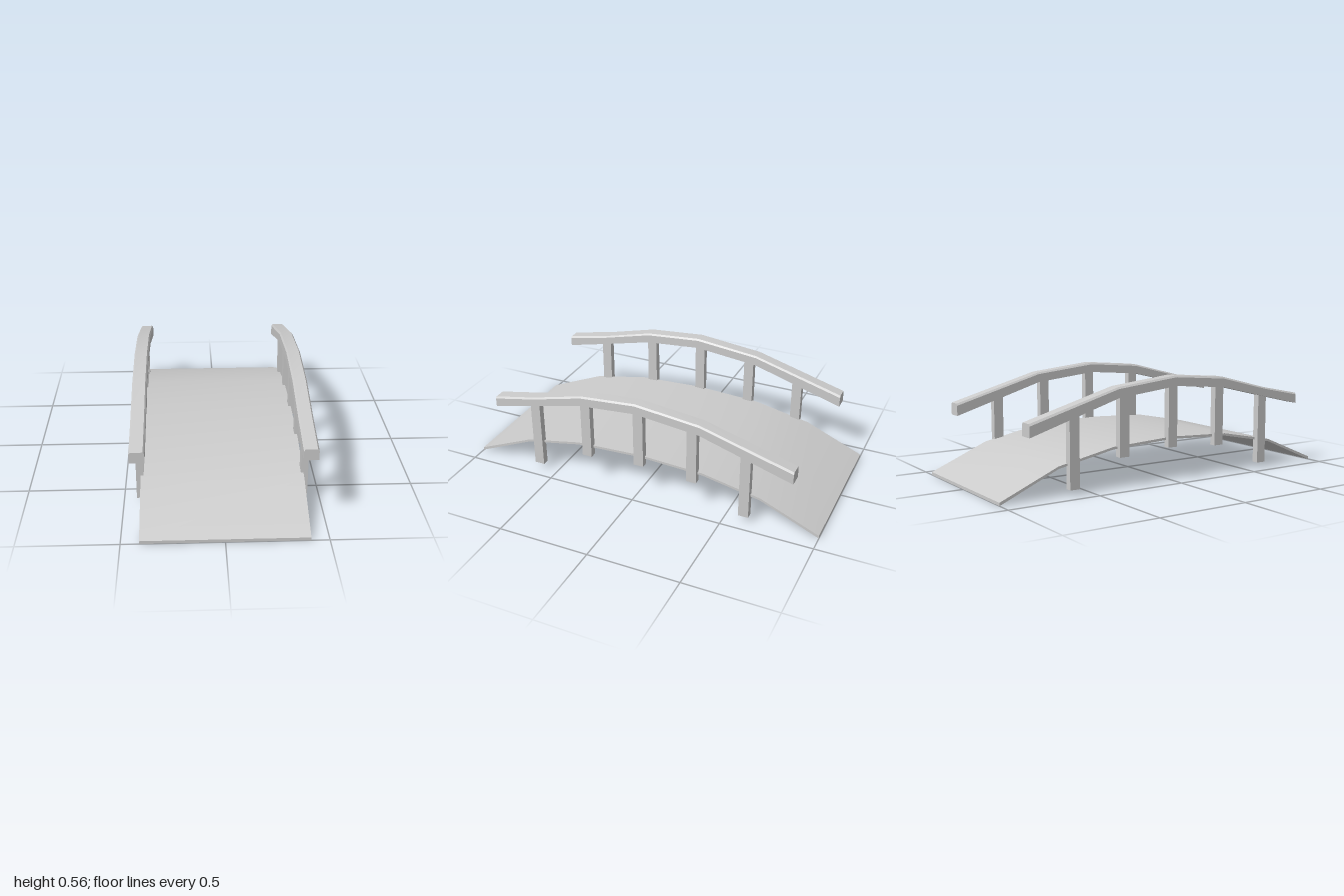
import * as THREE from 'three';
import { toCreasedNormals } from 'three/addons/utils/BufferGeometryUtils.js';

// Sweeps a convex section, given counter-clockwise seen from +z, along stations running from +z to -z.
// A station is [z, top, bottom]; section points are [x, t] with t = 0 at the bottom and 1 at the top.
function loft(section, stations) {
  const n = section.length;
  const positions = [];
  const index = [];
  for (const [z, top, bottom] of stations) {
    for (const [x, t] of section) positions.push(x, bottom + (top - bottom) * t, z);
  }
  for (let s = 0; s < stations.length - 1; s++) {
    for (let i = 0; i < n; i++) {
      const a = s * n + i;
      const b = s * n + (i + 1) % n;
      index.push(a, a + n, b, b, a + n, b + n);
    }
  }
  const last = (stations.length - 1) * n;
  for (let i = 1; i < n - 1; i++) {
    index.push(0, i, i + 1, last, last + i + 1, last + i);
  }
  const geometry = new THREE.BufferGeometry();
  geometry.setAttribute('position', new THREE.Float32BufferAttribute(positions, 3));
  geometry.setIndex(index);
  return toCreasedNormals(geometry, Math.PI / 6);
}

export function createModel() {
  const bridge = new THREE.Group();
  bridge.name = 'footbridge';
  const smooth = new THREE.MeshStandardMaterial({ color: 0xcccccc });
  const flat = new THREE.MeshStandardMaterial({ color: 0xcccccc, flatShading: true, side: THREE.DoubleSide });

  function add(name, geometry, material, x = 0, y = 0, z = 0) {
    const mesh = new THREE.Mesh(geometry, material);
    mesh.name = name;
    mesh.position.set(x, y, z);
    bridge.add(mesh);
  }

  // Thin arched deck
  const deckHalf = [[1, 0.016], [0.68, 0.152], [0.362, 0.215], [0, 0.232]];
  const deckArc = [...deckHalf, ...deckHalf.slice(0, -1).reverse().map(([z, y]) => [-z, y])];
  const deckSection = [[-0.41, 0], [0.41, 0], [0.41, 1], [-0.41, 1]];
  add('deck', loft(deckSection, deckArc.map(([z, y]) => [z, y, y - (Math.abs(z) === 1 ? 0.016 : 0.013)])), smooth);

  // Handrail: square below, chamfered along the two top edges
  const railSection = [[-0.0375, 0], [0.0375, 0], [0.0375, 0.83], [0.03, 1], [-0.03, 1], [-0.0375, 0.83]];
  const railStations = [
    [0.845, 0.408, 0.35], [0.61, 0.455, 0.405], [0.315, 0.531, 0.476],
    [0, 0.558, 0.503], [-0.356, 0.521, 0.466], [-0.858, 0.381, 0.314],
  ];
  const rail = loft(railSection, railStations);

  // Posts: square open tubes, [z, bottom, top]
  const posts = [
    [0.608, 0.03, 0.42], [0.3, 0.16, 0.49], [-0.008, 0.18, 0.515],
    [-0.31, 0.16, 0.485], [-0.602, 0.03, 0.41],
  ];
  for (const [side, sign] of [['left', 1], ['right', -1]]) {
    add(side + 'Handrail', rail, smooth, sign * 0.415, 0, 0);
    posts.forEach(([z, bottom, top], i) => {
      const post = new THREE.CylinderGeometry(Math.SQRT1_2, Math.SQRT1_2, 1, 4, 1, true);
      post.rotateY(Math.PI / 4).scale(0.037, top - bottom, 0.055);
      add(`${side}Post${i + 1}`, post, flat, sign * 0.415, (bottom + top) / 2, z);
    });
  }
  return bridge;
}
